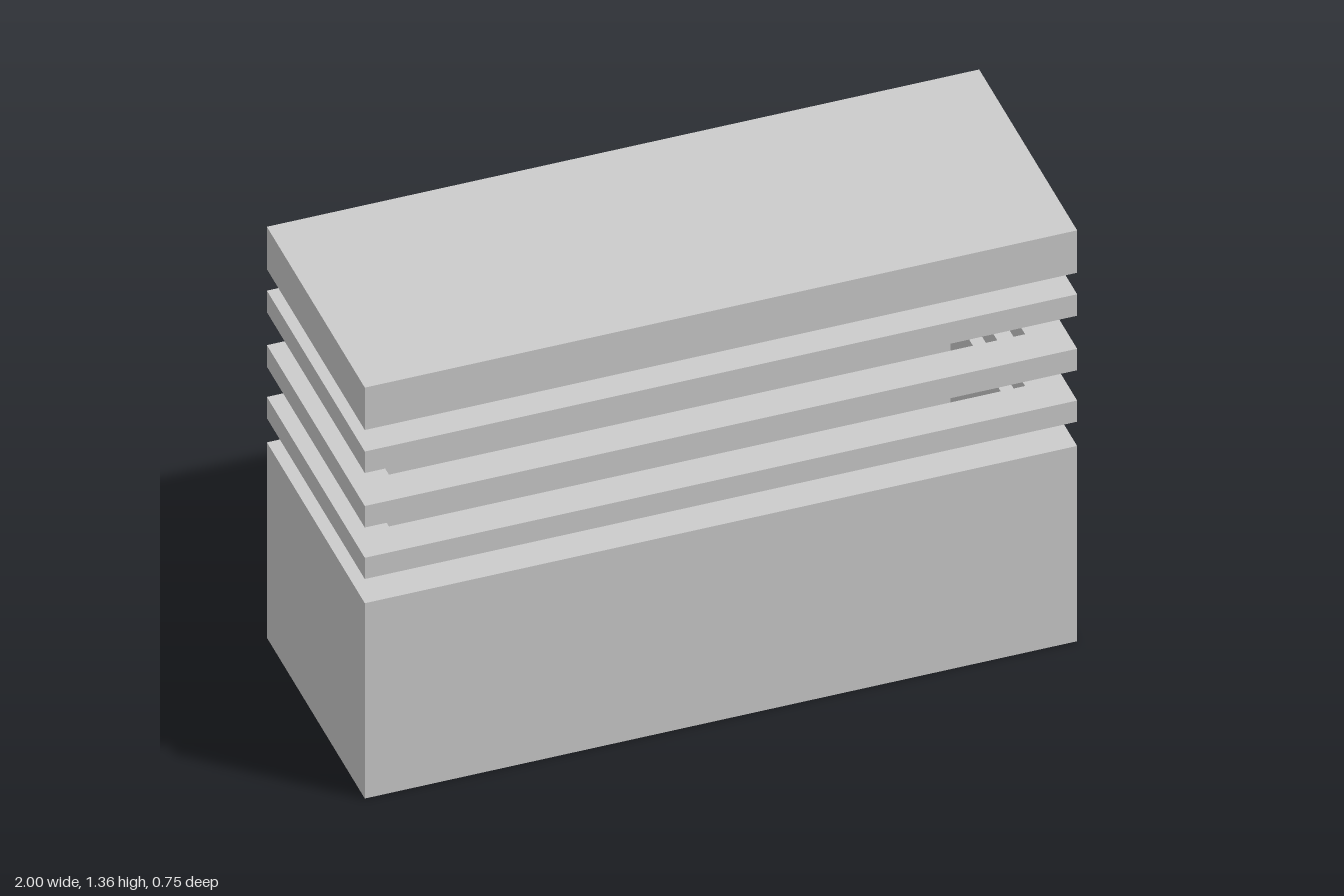
import * as THREE from 'three';

const W = 1, D = 0.375;            // half width and half depth
const SIDE = 0.107, FRONT = 0.107, BACK = 0.073; // wall thicknesses
const TOP = 1.357;

const material = new THREE.MeshStandardMaterial({ color: 0xcccccc, flatShading: true });

function rect(Type, x0, x1, y0, y1) {
  const r = new Type();
  r.moveTo(x0, y0);
  r.lineTo(x1, y0);
  r.lineTo(x1, y1);
  r.lineTo(x0, y1);
  r.closePath();
  return r;
}

// Rectangular frame of the hollow casing between two heights
function frame(name, y0, y1) {
  const shape = rect(THREE.Shape, -W, W, -D, D);
  shape.holes.push(rect(THREE.Path, -W + SIDE, W - SIDE, -D + FRONT, D - BACK));
  const geometry = new THREE.ExtrudeGeometry(shape, { depth: y1 - y0, bevelEnabled: false });
  geometry.rotateX(-Math.PI / 2);
  const mesh = new THREE.Mesh(geometry, material);
  mesh.position.y = y0;
  mesh.name = name;
  return mesh;
}

function box(name, w, d, y0, y1, z) {
  const mesh = new THREE.Mesh(new THREE.BoxGeometry(w, y1 - y0, d), material);
  mesh.position.set(0, (y0 + y1) / 2, z);
  mesh.name = name;
  return mesh;
}

export function createModel() {
  const group = new THREE.Group();
  group.name = 'ventedCover';

  // Lower casing, open underneath
  const baseTop = 0.645, lidBottom = 1.217;
  group.add(frame('lowerCasing', 0, baseTop));

  // Vent slats wrapping the front and sides
  const slats = [[0.725, 0.795], [0.895, 0.966], [1.075, 1.146]];
  slats.forEach(([a, b], i) => group.add(frame('ventSlat' + (i + 1), a, b)));

  // Back wall closing the gaps behind the vents
  const edges = [baseTop, ...slats.flat(), lidBottom];
  for (let i = 0; i < edges.length; i += 2) {
    group.add(box('backWall' + (i / 2 + 1), 2 * (W - SIDE), BACK, edges[i], edges[i + 1], -D + BACK / 2));
  }

  // Solid lid
  group.add(box('lid', 2 * W, 2 * D, lidBottom, TOP, 0));
  return group;
}
